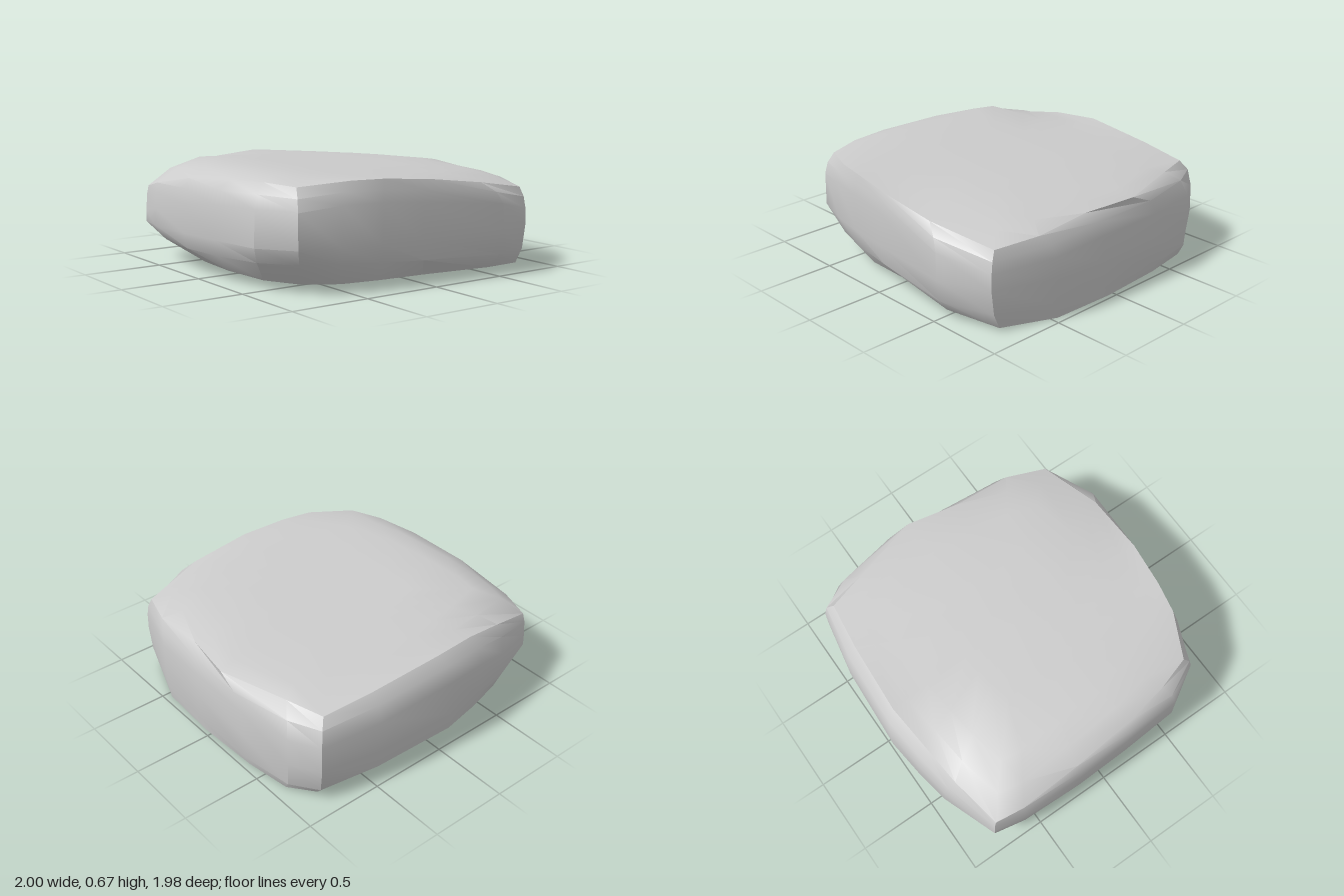
import * as THREE from 'three';
import { toCreasedNormals } from 'three/addons/utils/BufferGeometryUtils.js';

// widest outline [x, z], running from the left side round by the front
const girth = [
  [.94, .05], [.91, .32], [.86, .57], [.78, .81], [.55, .95], [.16, .975], [-.2, .985],
  [-.6, .97], [-.8, .93], [-.93, .58], [-.97, .36], [-1, .1], [-.97, -.45], [-.9, -.83],
  [-.73, -.94], [-.37, -.99], [.1, -.985], [.48, -.965], [.87, -.84], [1, -.53],
];
// rim of the upper face [x, y, z]
const rim = [
  [.93, .62, 0], [.89, .64, .3], [.85, .64, .5], [.72, .61, .78], [.5, .62, .85],
  [.22, .61, .905], [-.2, .58, .94], [-.6, .51, .95], [-.78, .47, .92], [-.85, .57, .6],
  [-.88, .62, .33], [-.91, .64, .03], [-.88, .6, -.45], [-.84, .57, -.77], [-.6, .575, -.84],
  [-.15, .575, -.97], [.2, .56, -.91], [.57, .53, -.905], [.83, .5, -.82], [.93, .57, -.4],
];
// outline of the underside [x, z]
const sole = [
  [.82, -.05], [.82, .28], [.75, .5], [.62, .68], [.42, .81], [.1, .85], [-.2, .84],
  [-.5, .76], [-.66, .69], [-.78, .54], [-.84, .3], [-.88, 0], [-.88, -.45], [-.83, -.81],
  [-.68, -.92], [-.38, -.96], [.05, -.975], [.46, -.955], [.8, -.83], [.9, -.5],
];

const soleY = (x, z) => Math.max(0, .028 + .025 * z - .018 * x + .2 * Math.max(0, x - .7));
const crownY = (x, z) => .64 + .042 * z - .025 * x * x;

function createRings() {
  const v = (x, y, z) => new THREE.Vector3(x, y, z);
  const under = sole.map(([x, z]) => v(x, soleY(x, z), z));
  const upper = rim.map((p) => v(...p));
  // side rings blend the girth with the underside or the rim
  const side = (y, target, t) => girth.map(([x, z], i) => {
    const p = v(x, 0, z).lerp(target[i], t(x, z));
    p.y = y(x, z, i);
    return p;
  });
  // the lower corners are worn away more than the straight sides
  const low = side((x, z) => .11 + .04 * z + .04 * Math.max(0, x), under, (x, z) => .1 + .3 * Math.abs(x * z));
  const waist = side((x) => .25 + .02 * x, under, () => 0);
  const high = side((x, z, i) => rim[i][1] - .15 + .02 * x, upper, () => .05);
  const shoulder = side((x, z, i) => rim[i][1] - .06, upper, () => .35);
  // gently domed upper face, easing from the rim to the crown height
  const crown = (s, ease) => upper.map((p) => {
    const x = p.x * s, z = p.z * s;
    return v(x, THREE.MathUtils.lerp(p.y, crownY(x, z), ease), z);
  });
  const underCentre = under.map(() => v(0, soleY(0, 0), 0));
  return [underCentre, under, low, waist, high, shoulder, upper,
    crown(.88, .6), crown(.72, 1), crown(.4, 1), crown(0, 1)];
}

// joins the rings; the first and last ring are single points
function skin(rings) {
  const pos = [];
  const tri = (...pts) => pts.forEach((p) => pos.push(p.x, p.y, p.z));
  const n = rings[0].length;
  for (let r = 0; r < rings.length - 1; r++) {
    for (let i = 0; i < n; i++) {
      const j = (i + 1) % n;
      const a = rings[r][i], b = rings[r][j], c = rings[r + 1][i], d = rings[r + 1][j];
      if (r < rings.length - 2) tri(a, c, d);
      if (r > 0) tri(a, d, b);
    }
  }
  const geo = new THREE.BufferGeometry();
  geo.setAttribute('position', new THREE.Float32BufferAttribute(pos, 3));
  return toCreasedNormals(geo, .65);
}

export function createModel() {
  const group = new THREE.Group();
  group.name = 'flatStone';
  const stone = new THREE.Mesh(skin(createRings()), new THREE.MeshStandardMaterial({ color: 0xcccccc }));
  stone.name = 'stone';
  group.add(stone);
  return group;
}
